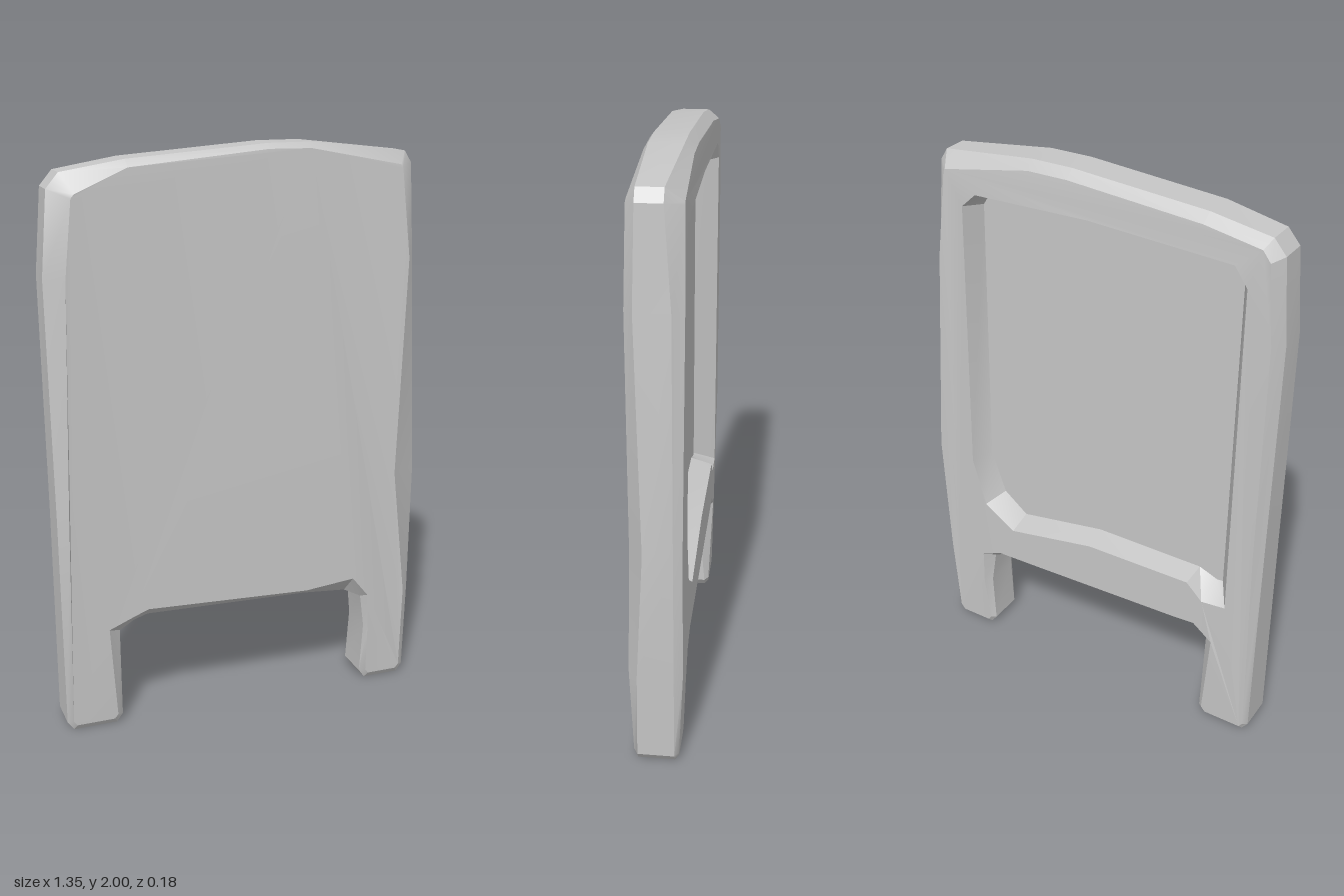
import * as THREE from 'three';
import { toCreasedNormals } from 'three/addons/utils/BufferGeometryUtils.js';

// Chamfered foot of a leg between two x positions
const foot = (x0, x1) => [
  [x0, 0.03], [x0 + 0.022, 0], [x1 - 0.022, 0], [x1, 0.03],
].map(([x, y]) => [x, y, 0.02, 0.015]);

// Lower arch and upper outline, counter-clockwise: x, y, front bevel, back bevel
const arch = [
  [-0.46, 0.35, 0.045, 0.045], [-0.41, 0.385, 0.025, 0.05], [-0.36, 0.4, 0.03, 0.025],
  [0.23, 0.388, 0.02, 0.015], [0.4, 0.368, 0.06, 0.03], [0.46, 0.34, 0.018, 0.03],
  [0.475, 0.22, 0.01, 0.02],
];
const crown = [
  [0.653, 0.35, 0.03, 0.015], [0.67, 0.82, 0.1, 0.015], [0.62, 1.6, 0.025, 0.025],
  [0.605, 1.92, 0.045, 0.05], [0.58, 1.96, 0.045, 0.05], [0.23, 2, 0.02, 0.03],
  [0.08, 2, 0.018, 0.03], [-0.4, 1.965, 0.025, 0.03], [-0.61, 1.93, 0.07, 0.03],
  [-0.652, 1.88, 0.07, 0.03], [-0.675, 1.6, 0.065, 0.03], [-0.665, 0.8, 0.035, 0.025],
];

// Opening in the back, counter-clockwise: x, y, inset of the recess floor
const opening = [
  [-0.55, 0.55, 0.05], [-0.46, 0.54, 0.05], [-0.4, 0.6, 0.02], [0, 0.595, 0.025],
  [0.34, 0.53, 0.03], [0.46, 0.61, 0.04], [0.51, 0.79, 0.03], [0.485, 1.8, 0.03],
  [0.43, 1.85, 0.015], [0, 1.86, 0.01], [-0.51, 1.835, 0.015], [-0.555, 1.77, 0.045],
];

// Move each corner inward along its mitre
function inset(points, column, zAt) {
  return points.map((p, i) => {
    const a = points.at(i - 1), b = points[(i + 1) % points.length];
    const n1 = new THREE.Vector2(a[1] - p[1], p[0] - a[0]).normalize();
    const n2 = new THREE.Vector2(p[1] - b[1], b[0] - p[0]).normalize();
    const n = n1.clone().add(n2).normalize();
    const d = p[column] / Math.max(n.dot(n1), 0.6);
    const y = p[1] + n.y * d;
    return new THREE.Vector3(p[0] + n.x * d, y, zAt(y));
  });
}

// Quads joining two loops; faces point outward when a lies in front of b
function band(a, b) {
  const tris = [];
  a.forEach((p, i) => {
    const j = (i + 1) % a.length;
    tris.push(p, b[i], b[j], p, b[j], a[j]);
  });
  return tris;
}

// Flat fill of a loop, with optional holes, facing +z or -z
function fill(loop, holes, facing) {
  const flat = (l) => l.map((p) => new THREE.Vector2(p.x, p.y));
  const all = [loop, ...holes].flat();
  const tris = [];
  for (const [i, j, k] of THREE.ShapeUtils.triangulateShape(flat(loop), holes.map(flat))) {
    const [a, b, c] = [all[i], all[j], all[k]];
    const area = (b.x - a.x) * (c.y - a.y) - (b.y - a.y) * (c.x - a.x);
    if (area * facing > 0) tris.push(a, b, c);
    else tris.push(a, c, b);
  }
  return tris;
}

export function createModel() {
  const group = new THREE.Group();
  const grey = new THREE.MeshStandardMaterial({ color: 0xc6c6c6 });
  grey.name = 'grey';

  // Thickness thins toward the floor and the crown; wider bevels also cut deeper
  const outline = [...foot(-0.66, -0.46), ...arch, ...foot(0.465, 0.643), ...crown];
  const half = (y) => 0.09 - 0.043 * Math.max(0, 0.35 - y) - 0.12 * Math.max(0, y - 1.87);
  const front = inset(outline, 2, half);
  const back = inset(outline, 3, (y) => -half(y));
  const frontRim = outline.map(([x, y, f]) => new THREE.Vector3(x, y, 0.07 - 0.35 * f));
  const backRim = outline.map(([x, y, , b]) => new THREE.Vector3(x, y, 0.9 * b - 0.075));
  const lip = opening.map(([x, y]) => new THREE.Vector3(x, y, -0.09));
  const floor = inset(opening, 2, () => -0.01);

  function add(name, tris) {
    const geometry = toCreasedNormals(new THREE.BufferGeometry().setFromPoints(tris), 0.45);
    const mesh = new THREE.Mesh(geometry, grey);
    mesh.name = name;
    group.add(mesh);
  }

  // Front panel, bevelled edges, back frame and its sunken panel
  add('frontPanel', [...fill(front, [], 1), ...band(front, frontRim)]);
  add('sideEdge', band(frontRim, backRim));
  add('backFrame', [...band(backRim, back), ...fill(back, [lip], -1)]);
  // The recess wall faces into the opening
  add('recessWall', band(lip, floor));
  add('recessPanel', fill(floor, [], -1));
  return group;
}
